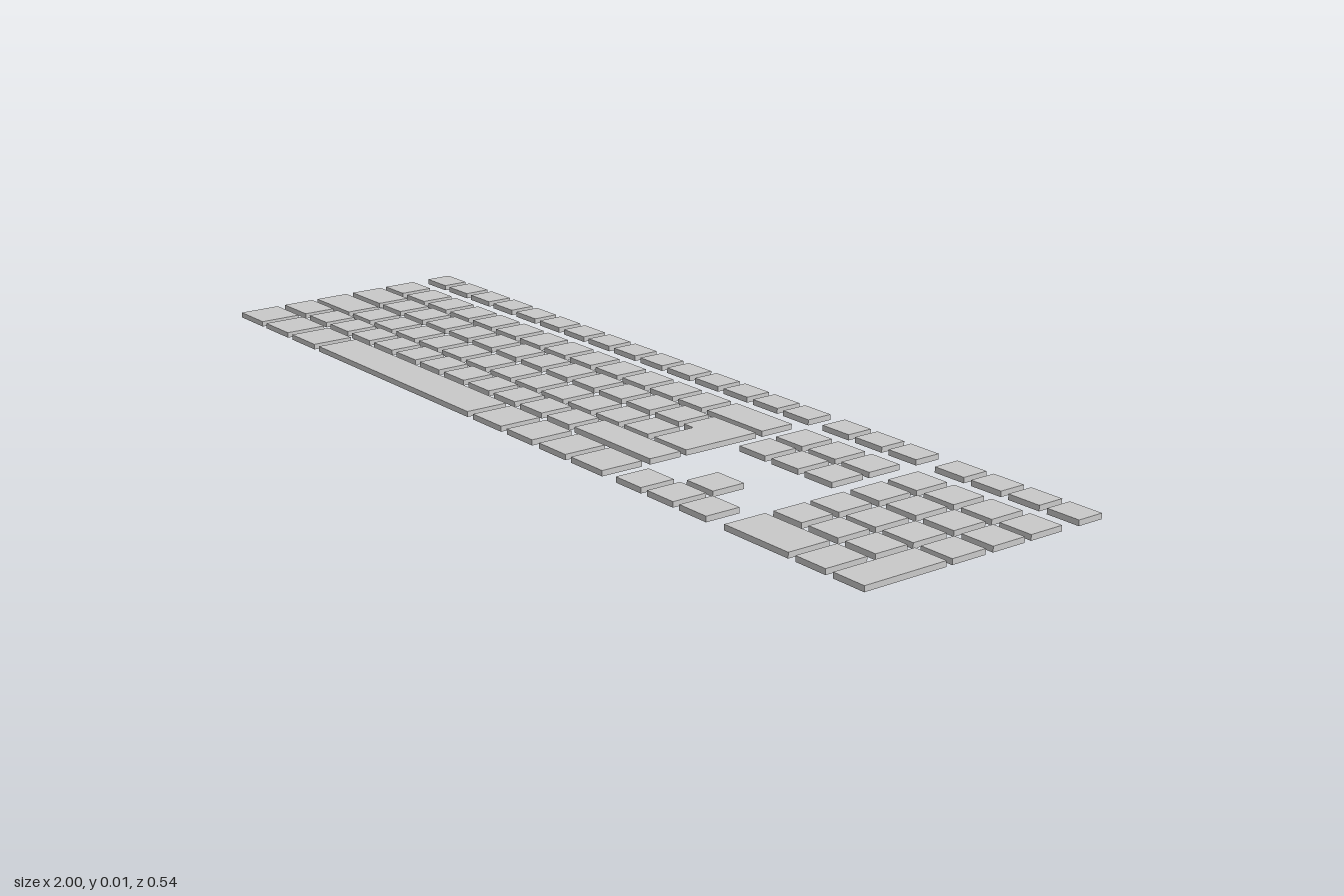
import * as THREE from 'three';

const H = 0.011;      // key thickness
const PITCH = 0.0893; // spacing of the standard keys
const KEY = 0.072;    // width of a standard key
const END = 0.322;    // right edge of the main block

// Front-to-back extent of each row, from the function keys to the space bar
const ROWS = [[-0.27, -0.214], [-0.173, -0.1], [-0.085, -0.012], [0.005, 0.08], [0.093, 0.163], [0.181, 0.27]];

export function createModel() {
  const model = new THREE.Group();
  model.name = 'keyboardKeys';
  const material = new THREE.MeshStandardMaterial({ color: 0xcccccc, flatShading: true });

  const section = (name) => {
    const group = new THREE.Group();
    group.name = name;
    model.add(group);
    return group;
  };

  const key = (group, name, [x0, x1], [z0, z1]) => {
    const mesh = new THREE.Mesh(new THREE.BoxGeometry(x1 - x0, H, z1 - z0), material);
    mesh.position.set((x0 + x1) / 2, H / 2, (z0 + z1) / 2);
    mesh.name = name;
    group.add(mesh);
  };

  const run = (group, name, x, count, row) => {
    for (let i = 0; i < count; i++) {
      key(group, name + (i + 1), [x + i * PITCH, x + i * PITCH + KEY], row);
    }
  };

  // Main typing block
  const main = section('mainBlock');
  run(main, 'functionKey', -1, 15, ROWS[0]);
  run(main, 'numberKey', -1, 13, ROWS[1]);
  key(main, 'backspaceKey', [0.161, END], ROWS[1]);
  key(main, 'tabKey', [-1, -0.885], ROWS[2]);
  run(main, 'upperLetterKey', -0.87, 12, ROWS[2]);
  key(main, 'capsKey', [-1, -0.863], ROWS[3]);
  run(main, 'homeLetterKey', -0.846, 12, ROWS[3]);
  key(main, 'leftShiftKey', [-1, -0.907], ROWS[4]);
  run(main, 'lowerLetterKey', -0.89, 11, ROWS[4]);
  key(main, 'rightShiftKey', [0.092, END], ROWS[4]);

  // Bottom row with the space bar
  const bottom = [[-1, -0.907], [-0.89, -0.797], [-0.778, -0.685], [-0.666, -0.107],
    [-0.088, 0.006], [0.025, 0.107], [0.129, 0.211], [0.228, END]];
  bottom.forEach((x, i) => key(main, i === 3 ? 'spaceBar' : 'modifierKey' + (i + 1), x, ROWS[5]));

  // L-shaped enter key, drawn in plan and laid flat
  const outline = [[0.2, -0.085], [END, -0.085], [END, 0.08], [0.228, 0.08], [0.228, -0.012], [0.2, -0.012]];
  const shape = new THREE.Shape(outline.map(([x, z]) => new THREE.Vector2(x, -z)));
  const enterGeometry = new THREE.ExtrudeGeometry(shape, { depth: H, bevelEnabled: false });
  enterGeometry.rotateX(-Math.PI / 2);
  const enter = new THREE.Mesh(enterGeometry, material);
  enter.name = 'enterKey';
  main.add(enter);

  // Navigation keys and arrows
  const nav = section('navigationBlock');
  for (let r = 0; r < 3; r++) run(nav, `navigationKey${r + 1}_`, 0.362, 3, ROWS[r]);
  key(nav, 'upArrowKey', [0.451, 0.523], [0.112, 0.182]);
  run(nav, 'arrowKey', 0.362, 3, [0.197, 0.27]);

  // Number pad
  const pad = section('numberPad');
  const padX = 0.66;
  for (let r = 0; r < 4; r++) run(pad, `padKey${r + 1}_`, padX, 4, ROWS[r]);
  run(pad, 'padKey5_', padX, 3, ROWS[4]);
  key(pad, 'padZeroKey', [padX, padX + PITCH + KEY], ROWS[5]);
  run(pad, 'padPointKey', padX + 2 * PITCH, 1, ROWS[5]);
  key(pad, 'padEnterKey', [padX + 3 * PITCH, 1], [ROWS[4][0], ROWS[5][1]]);

  return model;
}
